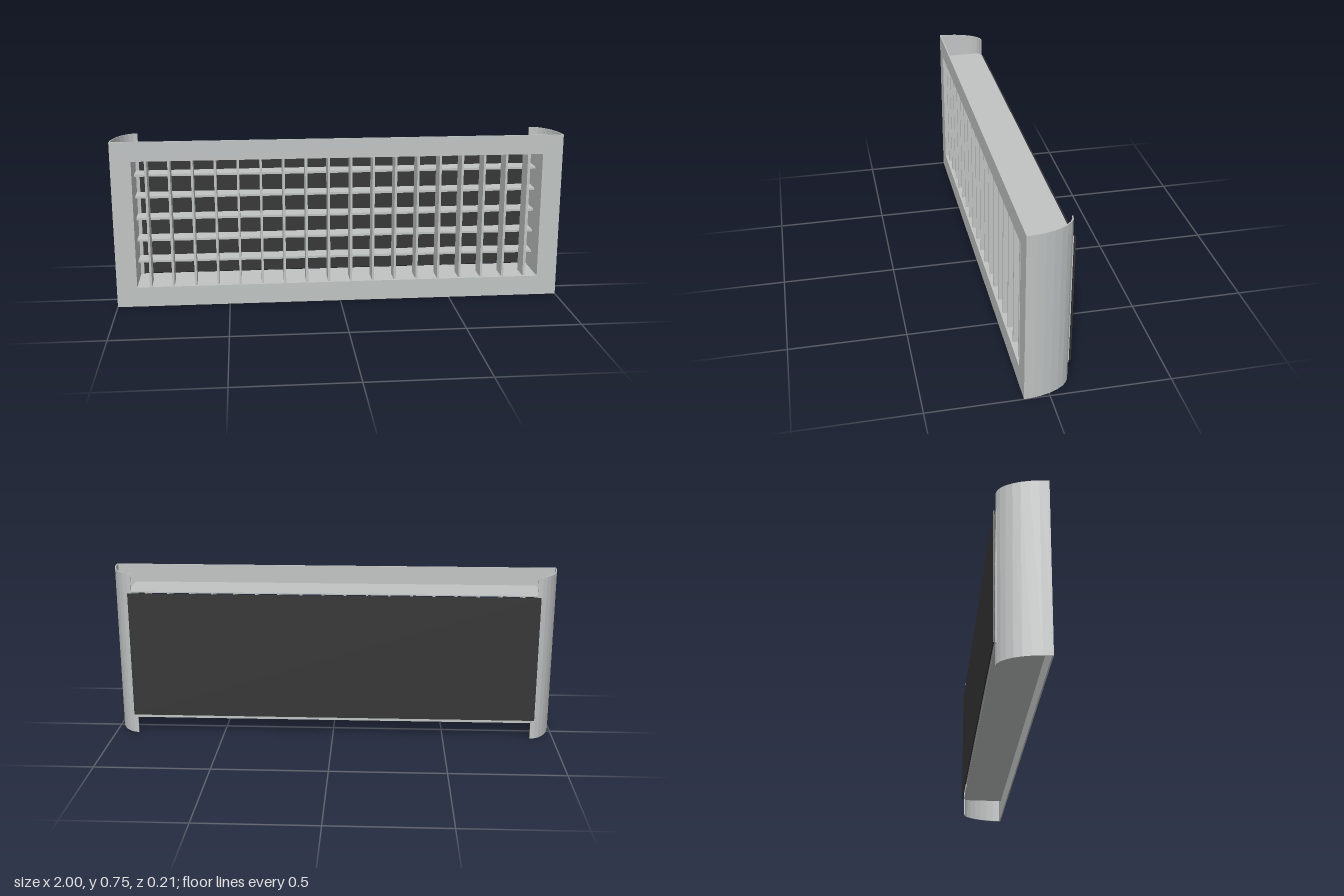
import * as THREE from 'three';

export function createModel() {
  const model = new THREE.Group();
  model.name = 'ventGrille';
  const grey = new THREE.MeshStandardMaterial({ color: 0xc0c4c3 });
  grey.name = 'paintedMetal';
  const dark = new THREE.MeshStandardMaterial({ color: 0x353535 });
  dark.name = 'darkBacking';

  const add = (name, geometry, material = grey) => {
    const mesh = new THREE.Mesh(geometry, material);
    mesh.name = name;
    model.add(mesh);
    return mesh;
  };
  // Box given by its minimum and maximum corners
  const box = (name, x0, x1, y0, y1, z0, z1, material) =>
    add(name, new THREE.BoxGeometry(x1 - x0, y1 - y0, z1 - z0), material)
      .position.set((x0 + x1) / 2, (y0 + y1) / 2, (z0 + z1) / 2);
  const rect = (Type, x0, x1, y0, y1) => new Type([
    new THREE.Vector2(x0, y0), new THREE.Vector2(x1, y0),
    new THREE.Vector2(x1, y1), new THREE.Vector2(x0, y1),
  ]);

  const height = 0.75, front = 0.105, back = -0.095;
  const openX = 0.91, low = 0.09, high = 0.663, wall = 0.005;

  // Flat front frame with the rectangular opening
  const frameShape = rect(THREE.Shape, -1, 1, 0, height);
  frameShape.holes.push(rect(THREE.Path, -openX, openX, low, high));
  const frame = new THREE.ExtrudeGeometry(frameShape, { depth: 0.006, bevelEnabled: false });
  add('frontFrame', frame).position.z = front - 0.006;

  // Open duct behind the frame
  const ductShape = rect(THREE.Shape, -openX - wall, openX + wall, low - wall, high + wall);
  ductShape.holes.push(rect(THREE.Path, -openX, openX, low, high));
  const ductDepth = front - 0.006 - back;
  add('duct', new THREE.ExtrudeGeometry(ductShape, { depth: ductDepth, bevelEnabled: false }))
    .position.z = back;

  // Curved end panels: a quarter ellipse strip, extruded upward
  const arc = (inset) => Array.from({ length: 9 }, (_, i) => {
    const t = (i / 8) * Math.PI / 2;
    return [0.895 + (0.105 - inset) * Math.cos(t), -front + (0.2 - inset) * Math.sin(t)];
  });
  const strip = [...arc(0), ...arc(0.005).reverse()];
  for (const side of [-1, 1]) {
    const shape = new THREE.Shape(strip.map(([x, y]) => new THREE.Vector2(side * x, y)));
    const panel = new THREE.ExtrudeGeometry(shape, { depth: height, bevelEnabled: false });
    panel.rotateX(-Math.PI / 2);
    add(side > 0 ? 'leftCurvedPanel' : 'rightCurvedPanel', panel);
  }

  // Upright blades in front
  for (let i = 0; i < 18; i++) {
    const x = -0.85 + i * 0.1;
    box('verticalBlade', x - 0.005, x + 0.005, low, high, 0.005, 0.095);
  }

  // Level blades behind them
  for (let i = 0; i < 5; i++) {
    const y = 0.176 + i * 0.1;
    box('horizontalBlade', -openX, openX, y - 0.005, y + 0.005, -0.09, -0.005);
  }

  // Dark sheet closing the back
  box('backSheet', -openX, openX, low, 0.66, -0.105, -0.1, dark);

  return model;
}
